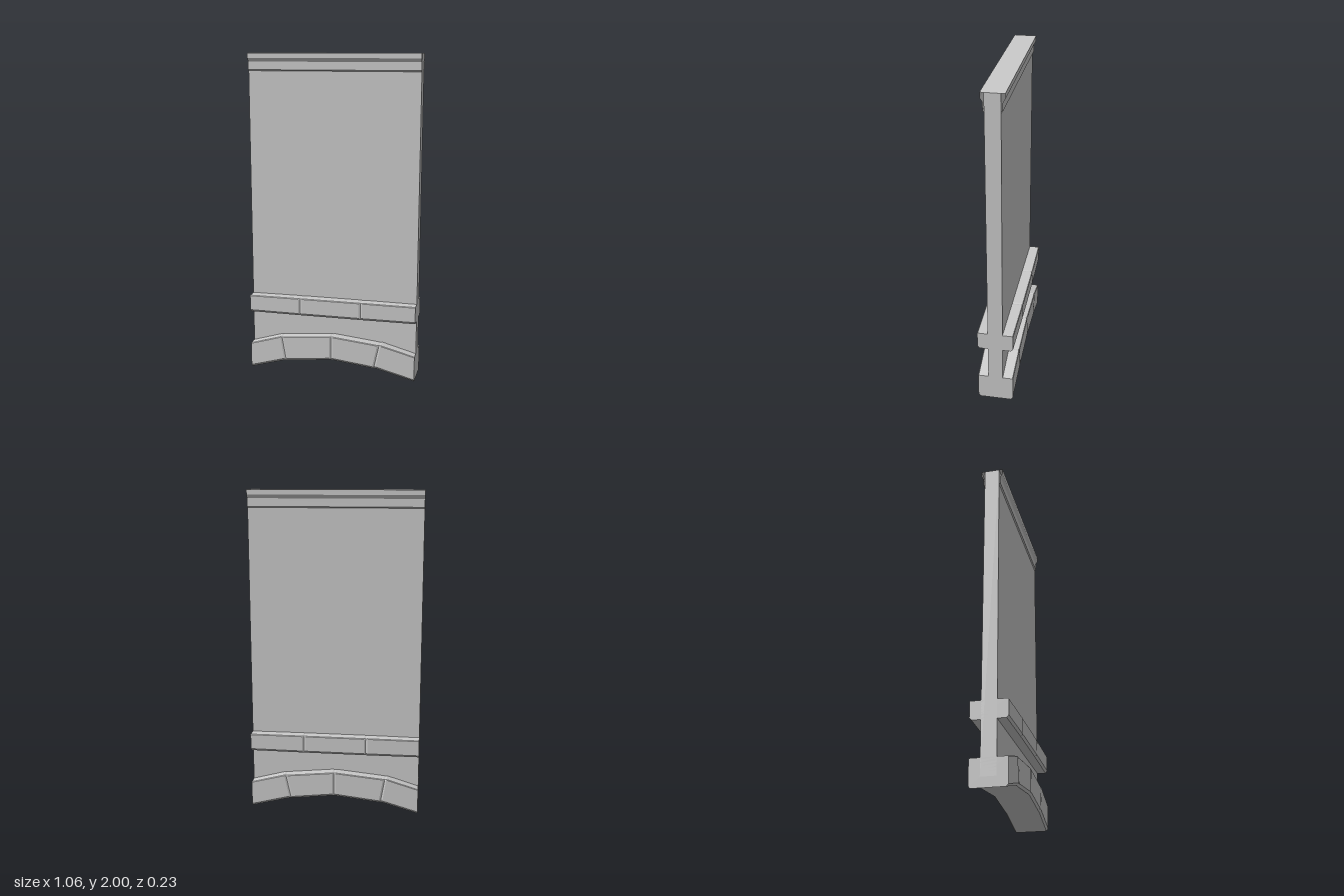
import * as THREE from 'three';

const W = 0.53;      // half width
const WALL = 0.045;  // half thickness of the wall
const grey = new THREE.MeshStandardMaterial({ color: 0xcccccc, flatShading: true });
const greyOpen = new THREE.MeshStandardMaterial({ color: 0xcccccc, flatShading: true, side: THREE.DoubleSide });

// Completes a front half profile [x, y, z] (top to bottom) with its mirrored back half
const mirrorRing = (half) => [...half, ...half.slice().reverse().map(([x, y, z]) => [x, y, -z])];

// Skins rings that run from -x to +x; caps close both ends
function loft(name, rings, caps, material) {
  const n = rings[0].length, pos = rings.flat(2), index = [];
  for (let i = 0; i < rings.length - 1; i++) {
    for (let j = 0; j < n; j++) {
      const k = (j + 1) % n;
      const a = i * n + j, b = i * n + k, c = b + n, d = a + n;
      index.push(a, b, c, a, c, d);
    }
  }
  if (caps) {
    const last = (rings.length - 1) * n;
    for (let j = 1; j < n - 1; j++) {
      index.push(0, j + 1, j);
      index.push(last, last + j, last + j + 1);
    }
  }
  const g = new THREE.BufferGeometry();
  g.setAttribute('position', new THREE.Float32BufferAttribute(pos, 3));
  g.setIndex(index);
  const flat = g.toNonIndexed();
  flat.computeVertexNormals();
  const mesh = new THREE.Mesh(flat, material);
  mesh.name = name;
  return mesh;
}

// Stone section between a bottom point and a top point, with worn edges
function stoneRing(xb, yb, xt, yt, z, inset) {
  const at = (y) => xb + (xt - xb) * (y - yb) / (yt - yb);
  const lip = yb + 0.014, top = yt - 0.004;
  return mirrorRing([
    [xt, yt - inset * 0.5, z - 0.003 - inset],
    [at(top), top - inset * 0.5, z - inset],
    [at(lip), lip, z - inset],
    [xb, yb, z - 0.012],
  ]);
}

// Course of stones; each station is [xBottom, yBottom, xTop, yTop, z, isJoint]
function stoneCourse(name, stations) {
  const rings = [];
  for (const [xb, yb, xt, yt, z, joint] of stations) {
    if (!joint) rings.push(stoneRing(xb, yb, xt, yt, z, 0));
    else for (const d of [-0.011, 0, 0.011])
      rings.push(stoneRing(xb + d, yb, xt + d, yt, z, d === 0 ? 0.005 : 0));
  }
  return loft(name, rings, true, grey);
}

export function createModel() {
  const model = new THREE.Group();
  model.name = 'archedWallSection';

  // Wall panel, its lower edge hidden inside the arch
  const shape = new THREE.Shape();
  [[-W, 0.06], [-0.3, 0.12], [0, 0.15], [0.29, 0.12], [W, 0.06], [W, 2], [-W, 2]]
    .forEach(([x, y], i) => (i ? shape.lineTo(x, y) : shape.moveTo(x, y)));
  const wallGeo = new THREE.ExtrudeGeometry(shape, { depth: 2 * WALL, bevelEnabled: false });
  wallGeo.translate(0, 0, -WALL);
  const wall = new THREE.Mesh(wallGeo, grey);
  wall.name = 'wall';
  model.add(wall);

  // Moulding along the top, open at the ends
  const profile = [[2, 0.067], [1.97, 0.067], [1.948, 0.053], [1.9, 0.053], [1.893, WALL]];
  const mouldingRings = [-W, W].map((x) => mirrorRing(profile.map(([y, z]) => [x, y, z])));
  model.add(loft('topMoulding', mouldingRings, false, greyOpen));

  // Straight ledge of three stones
  model.add(stoneCourse('ledge', [
    [-W, 0.374, -W, 0.484, 0.109],
    [-0.2, 0.374, -0.2, 0.486, 0.113, true],
    [0.19, 0.374, 0.19, 0.486, 0.113, true],
    [W, 0.374, W, 0.484, 0.109],
  ]));

  // Shallow arch of four stones
  model.add(stoneCourse('arch', [
    [-W, 0, -W, 0.163, 0.108],
    [-0.295, 0.064, -0.322, 0.222, 0.112, true],
    [0, 0.094, 0, 0.25, 0.113, true],
    [0.275, 0.064, 0.308, 0.22, 0.112, true],
    [W, 0, W, 0.163, 0.108],
  ]));

  return model;
}
